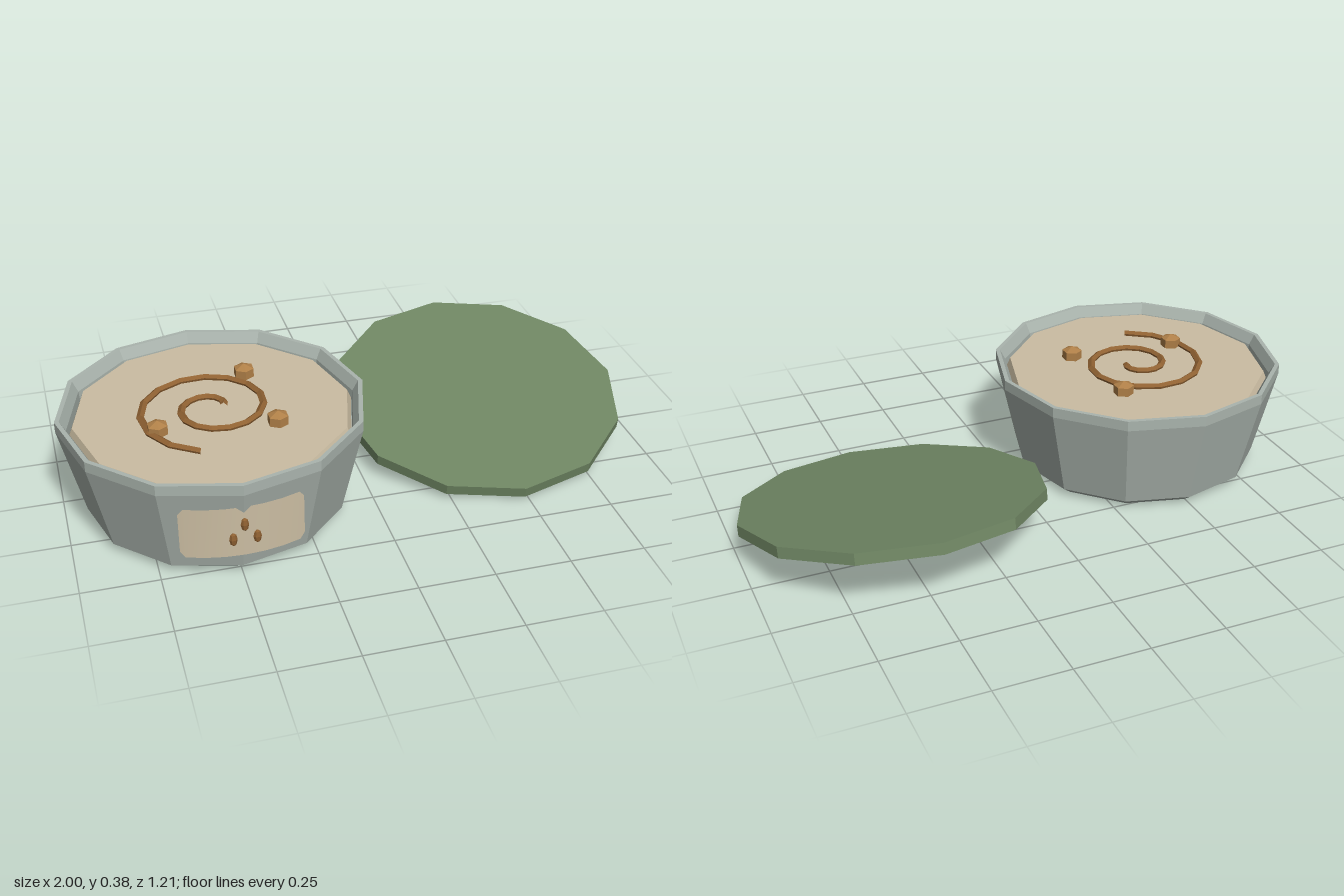
import * as THREE from 'three';

const material = (name, color, side = THREE.FrontSide) => {
  const m = new THREE.MeshStandardMaterial({ color, side });
  m.name = name;
  return m;
};

// Facets a geometry so every polygon has its own flat normal
function flat(geometry) {
  const g = geometry.index ? geometry.toNonIndexed() : geometry;
  g.computeVertexNormals();
  return g;
}

// Spiral on the fill, sampled evenly by angle
class Spiral extends THREE.Curve {
  getPoint(t, target = new THREE.Vector3()) {
    const a = t * THREE.MathUtils.degToRad(612);
    const r = 0.037 + 0.223 * t;
    return target.set(r * Math.cos(a), 0, -r * Math.sin(a));
  }
  getPointAt(t, target) { return this.getPoint(t, target); }
  getTangentAt(t, target) { return this.getTangent(t, target); }
}

export function createModel() {
  const model = new THREE.Group();
  model.name = 'bowlAndLid';

  const glaze = material('grey green glaze', 0xaab4ad);
  const cream = material('cream', 0xcbbda2);
  const paper = material('label cream', 0xcbbda2, THREE.DoubleSide);
  const green = material('lid green', 0x6f8663);
  const brown = material('swirl brown', 0x8f6132);
  const tan = material('nugget tan', 0xb08048);

  const add = (parent, name, geometry, mat, x = 0, y = 0, z = 0) => {
    const mesh = new THREE.Mesh(geometry, mat);
    mesh.name = name;
    mesh.position.set(x, y, z);
    parent.add(mesh);
    return mesh;
  };

  // Everything belonging to the bowl is placed around its axis
  const bowl = new THREE.Group();
  bowl.name = 'filledBowl';
  bowl.position.set(-0.498, 0, 0.1);
  model.add(bowl);

  // Twelve-sided bowl with chamfered foot and bevelled rim
  const profile = [
    [0, 0], [0.395, 0], [0.43, 0.027], [0.502, 0.335], [0.502, 0.37],
    [0.487, 0.37], [0.468, 0.335], [0.465, 0.3], [0, 0.3],
  ].map(([r, y]) => new THREE.Vector2(r, y));
  add(bowl, 'bowl', flat(new THREE.LatheGeometry(profile, 12)), glaze);

  // Contents with a slightly tapered edge
  add(bowl, 'fill', flat(new THREE.CylinderGeometry(0.45, 0.463, 0.032, 12)), cream, 0, 0.324, 0);

  // Swirl and nuggets resting on the fill
  add(bowl, 'swirl', flat(new THREE.TubeGeometry(new Spiral(), 26, 0.013, 5)), brown, 0, 0.344, 0);
  const nugget = new THREE.SphereGeometry(0.04, 6, 3);
  nugget.scale(1, 0.75, 1).rotateY(Math.PI / 6);
  for (const [x, z] of [[0.142, -0.186], [-0.192, 0.098], [0.185, 0.14]]) {
    add(bowl, 'nugget', flat(nugget), tan, x, 0.355, z);
  }

  // Curved label with clipped corners, wrapped around the front
  const columns = [-0.41, -0.375, -0.25, -0.125, 0, 0.125, 0.25, 0.375, 0.41];
  const labelRadius = 0.485;
  const vertices = [];
  const faces = [];
  columns.forEach((a, i) => {
    const clip = i === 0 || i === columns.length - 1 ? 0.02 : 0;
    for (const y of [0.108 + clip, 0.283 - clip]) {
      vertices.push(labelRadius * Math.sin(a), y, labelRadius * Math.cos(a));
    }
    if (i > 0) {
      const k = 2 * i;
      faces.push(k - 2, k, k + 1, k - 2, k + 1, k - 1);
    }
  });
  const label = new THREE.BufferGeometry();
  label.setAttribute('position', new THREE.Float32BufferAttribute(vertices, 3));
  label.setIndex(faces);
  label.computeVertexNormals();
  add(bowl, 'label', label, paper);

  // Three small seeds on the label
  const seed = new THREE.SphereGeometry(1, 6, 4);
  seed.scale(0.013, 0.024, 0.009);
  for (const [x, y] of [[0, 0.224], [-0.037, 0.175], [0.037, 0.175]]) {
    add(bowl, 'seed', flat(seed), brown, x, y, 0.491);
  }

  // Lid lying beside the bowl, tilted down toward the front
  const lid = add(model, 'lid', flat(new THREE.CylinderGeometry(0.51, 0.51, 0.038, 12)), green, 0.488, 0.127, -0.105);
  lid.rotation.x = 0.203;

  return model;
}
